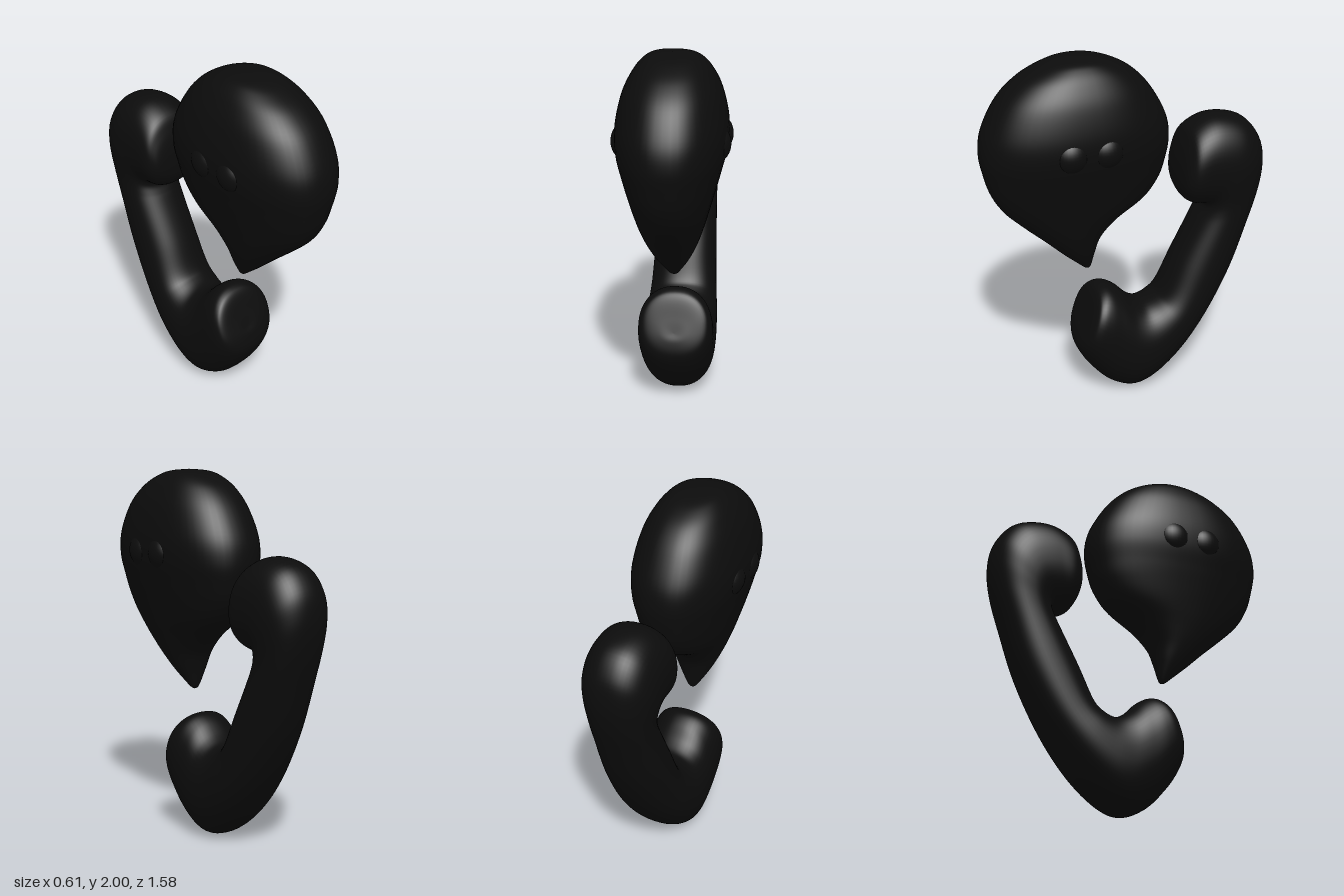
import * as THREE from 'three';

const black = new THREE.MeshStandardMaterial({ color: 0x0c0c0c });
black.name = 'black';

// Smooth loft through rows [zA, yA, zB, yB, halfWidth]: each row is a
// superelliptic section spanning A to B, mirrored across x = 0.
function loft(rows, steps, sides = 56, power = 2.25) {
  const curve = (zi, yi) => new THREE.CatmullRomCurve3(
    rows.map(r => new THREE.Vector3(r[4], r[yi], r[zi])), false, 'catmullrom', 0.5);
  const curveA = curve(0, 1), curveB = curve(2, 3);
  const soft = v => Math.sign(v) * Math.abs(v) ** (2 / power);
  const pos = [], index = [];
  for (let i = 0; i <= steps; i++) {
    const a = curveA.getPoint(i / steps), b = curveB.getPoint(i / steps);
    for (let j = 0; j < sides; j++) {
      const t = (j / sides) * Math.PI * 2;
      const c = soft(Math.cos(t)), s = soft(Math.sin(t));
      pos.push(Math.max(a.x, 0) * s,
        (a.y + b.y) / 2 + (a.y - b.y) / 2 * c,
        (a.z + b.z) / 2 + (a.z - b.z) / 2 * c);
      if (i < steps) {
        const p = i * sides + j, q = i * sides + (j + 1) % sides;
        index.push(p, p + sides, q, q, p + sides, q + sides);
      }
    }
  }
  const geo = new THREE.BufferGeometry();
  geo.setAttribute('position', new THREE.Float32BufferAttribute(pos, 3));
  geo.setIndex(index);
  geo.computeVertexNormals();
  return geo;
}

export function createModel() {
  const group = new THREE.Group();
  const add = (name, geo) => {
    const mesh = new THREE.Mesh(geo, black);
    mesh.name = name;
    group.add(mesh);
    return mesh;
  };

  // Speech bubble, from the crown down to the tail tip: [y, front z, back z, half width]
  const bubble = [
    [2.00, 0.27, 0.27, 0], [1.99, 0.37, 0.16, 0.10], [1.96, 0.47, 0.06, 0.155],
    [1.90, 0.585, -0.04, 0.205], [1.80, 0.69, -0.13, 0.253], [1.65, 0.77, -0.21, 0.285],
    [1.52, 0.79, -0.23, 0.283], [1.40, 0.77, -0.212, 0.255], [1.30, 0.74, -0.18, 0.228],
    [1.20, 0.68, -0.105, 0.20], [1.10, 0.58, 0.045, 0.17], [1.00, 0.47, 0.143, 0.135],
    [0.90, 0.365, 0.18, 0.09], [0.82, 0.275, 0.197, 0.042], [0.79, 0.24, 0.207, 0.02],
    [0.78, 0.22, 0.22, 0],
  ].map(([y, f, b, w]) => [f, y, b, y, w]);
  add('speechBubble', loft(bubble, 90));

  // Handset, swept from the earpiece to the mouthpiece: inner edge, outer edge, half width
  const handset = [
    [-0.30, 1.25, -0.30, 1.25, 0],
    [-0.305, 1.18, -0.305, 1.34, 0.12],
    [-0.33, 1.125, -0.33, 1.45, 0.17],
    [-0.37, 1.095, -0.377, 1.535, 0.195],
    [-0.414, 1.083, -0.504, 1.585, 0.20],
    [-0.44, 1.077, -0.668, 1.55, 0.20],
    [-0.448, 1.066, -0.764, 1.438, 0.195],
    [-0.443, 1.045, -0.79, 1.30, 0.183],
    [-0.424, 1.013, -0.77, 1.14, 0.172],
    [-0.393, 0.96, -0.71, 0.944, 0.17],
    [-0.286, 0.759, -0.615, 0.68, 0.177],
    [-0.207, 0.589, -0.472, 0.414, 0.187],
    [-0.159, 0.541, -0.313, 0.202, 0.20],
    [-0.09, 0.523, -0.154, 0.058, 0.205],
    [-0.021, 0.557, -0.021, 0.005, 0.205],
    [0.048, 0.626, 0.111, 0.058, 0.205],
    [0.106, 0.66, 0.218, 0.17, 0.205],
    [0.154, 0.658, 0.276, 0.26, 0.195],
    [0.191, 0.626, 0.297, 0.324, 0.165],
    [0.235, 0.525, 0.286, 0.40, 0.08],
    [0.265, 0.45, 0.265, 0.45, 0],
  ];
  add('handset', loft(handset, 120));

  // Raised dots on both faces of the bubble
  for (const side of [-1, 1]) {
    for (const z of [0.19, 0.375]) {
      const dot = add('bubbleDot', new THREE.SphereGeometry(1, 32, 20));
      dot.scale.set(0.085, 0.1, 0.1);
      dot.position.set(side * 0.22, 1.56, z);
    }
  }
  return group;
}
